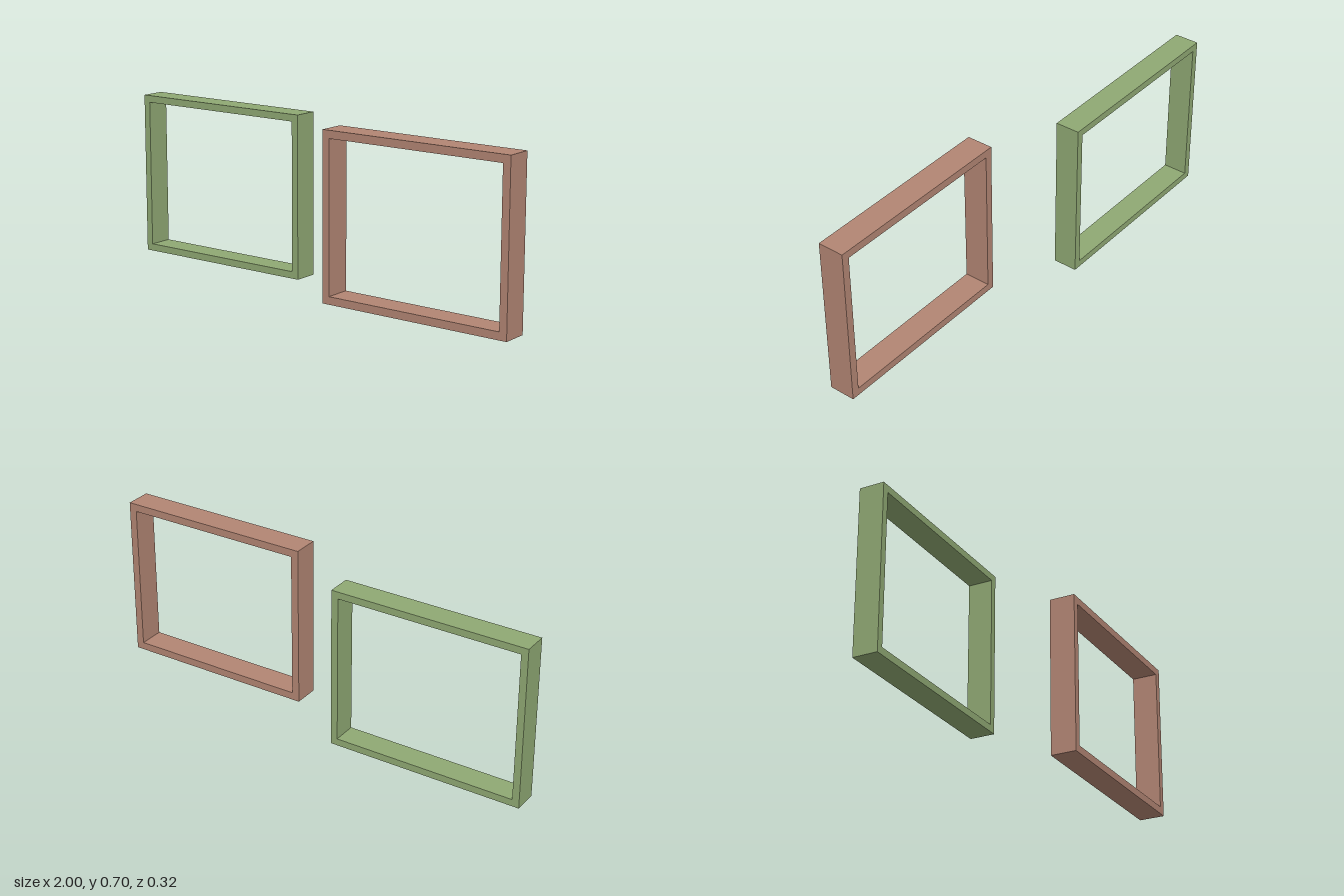
import * as THREE from 'three';

// Rectangular frame with a rectangular opening, extruded from z0 to z1
function makeFrame(name, color, [x0, x1], [y0, y1], [z0, z1], border) {
  const shape = new THREE.Shape();
  shape.moveTo(x0, y0).lineTo(x1, y0).lineTo(x1, y1).lineTo(x0, y1).closePath();
  const b = border;
  const opening = new THREE.Path();
  opening.moveTo(x0 + b, y0 + b).lineTo(x0 + b, y1 - b).lineTo(x1 - b, y1 - b).lineTo(x1 - b, y0 + b).closePath();
  shape.holes.push(opening);
  const geometry = new THREE.ExtrudeGeometry(shape, { depth: z1 - z0, bevelEnabled: false });
  geometry.translate(0, 0, z0);
  const mesh = new THREE.Mesh(geometry, new THREE.MeshStandardMaterial({ color }));
  mesh.name = name;
  return mesh;
}

export function createModel() {
  const group = new THREE.Group();
  group.name = 'windowFrames';
  // Slimmer frame at the back, on the model's right
  group.add(makeFrame('greenFrame', 0x8fa873, [-1, -0.149], [0.004, 0.698], [-0.158, -0.053], 0.03));
  // Slightly larger frame at the front, on the model's left
  group.add(makeFrame('brownFrame', 0xb28573, [0.143, 1], [0, 0.701], [0.046, 0.159], 0.033));
  return group;
}
